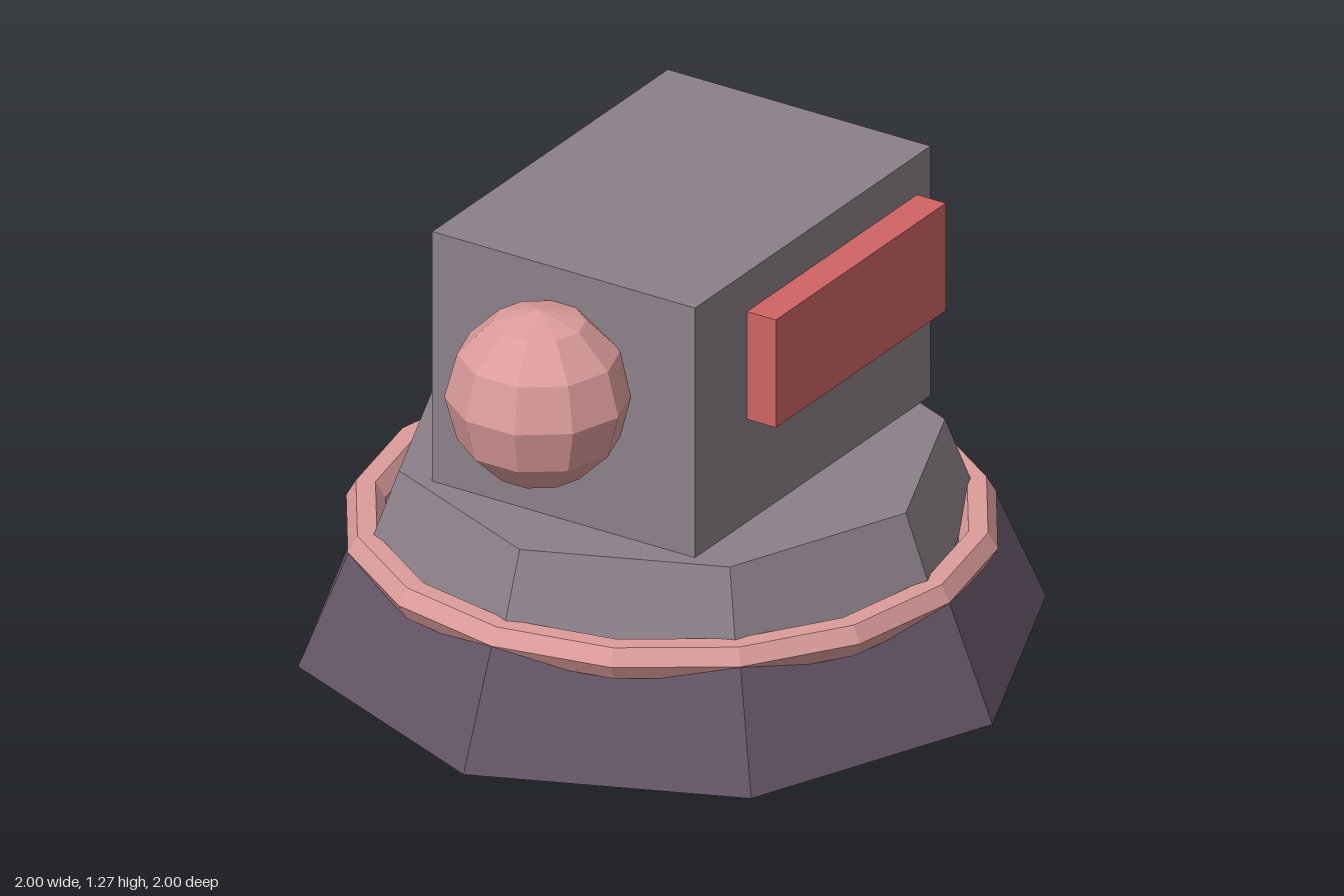
import * as THREE from 'three';

function material(name, color) {
  const m = new THREE.MeshStandardMaterial({ color });
  m.name = name;
  return m;
}

export function createModel() {
  const model = new THREE.Group();
  model.name = 'domedTurret';
  const purple = material('dark purple', 0x655668);
  const grey = material('warm grey', 0x8c8089);
  const red = material('red', 0xd06464);
  const pink = material('pink', 0xdc9c9b);

  // Unshared corners keep every facet flat.
  function add(name, geometry, mat, x, y, z) {
    const flat = geometry.toNonIndexed();
    flat.computeVertexNormals();
    const mesh = new THREE.Mesh(flat, mat);
    mesh.name = name;
    mesh.position.set(x, y, z);
    model.add(mesh);
    return mesh;
  }

  // Eight-sided tapered base and the collar above it
  add('base', new THREE.CylinderGeometry(0.865, 1, 0.32, 8), purple, 0, 0.16, 0);
  add('collar', new THREE.CylinderGeometry(0.73, 0.815, 0.225, 8), grey, 0, 0.4325, 0);

  // Trim ring covering the joint
  const ring = new THREE.TorusGeometry(0.815, 0.052, 6, 16).rotateX(Math.PI / 2);
  add('trimRing', ring, pink, 0, 0.32, 0);

  // Box head, set slightly towards the back
  add('head', new THREE.BoxGeometry(0.82, 0.73, 1.13), grey, 0, 0.91, -0.045);

  // Faceted ball on the front of the head
  add('frontBall', new THREE.SphereGeometry(0.248, 10, 6), pink, 0, 0.96, 0.638);

  // Mirrored side panels
  for (const side of [-1, 1]) {
    add(side > 0 ? 'leftPanel' : 'rightPanel',
      new THREE.BoxGeometry(0.1, 0.315, 0.815), red, side * 0.45, 1.0025, -0.1375);
  }
  return model;
}
